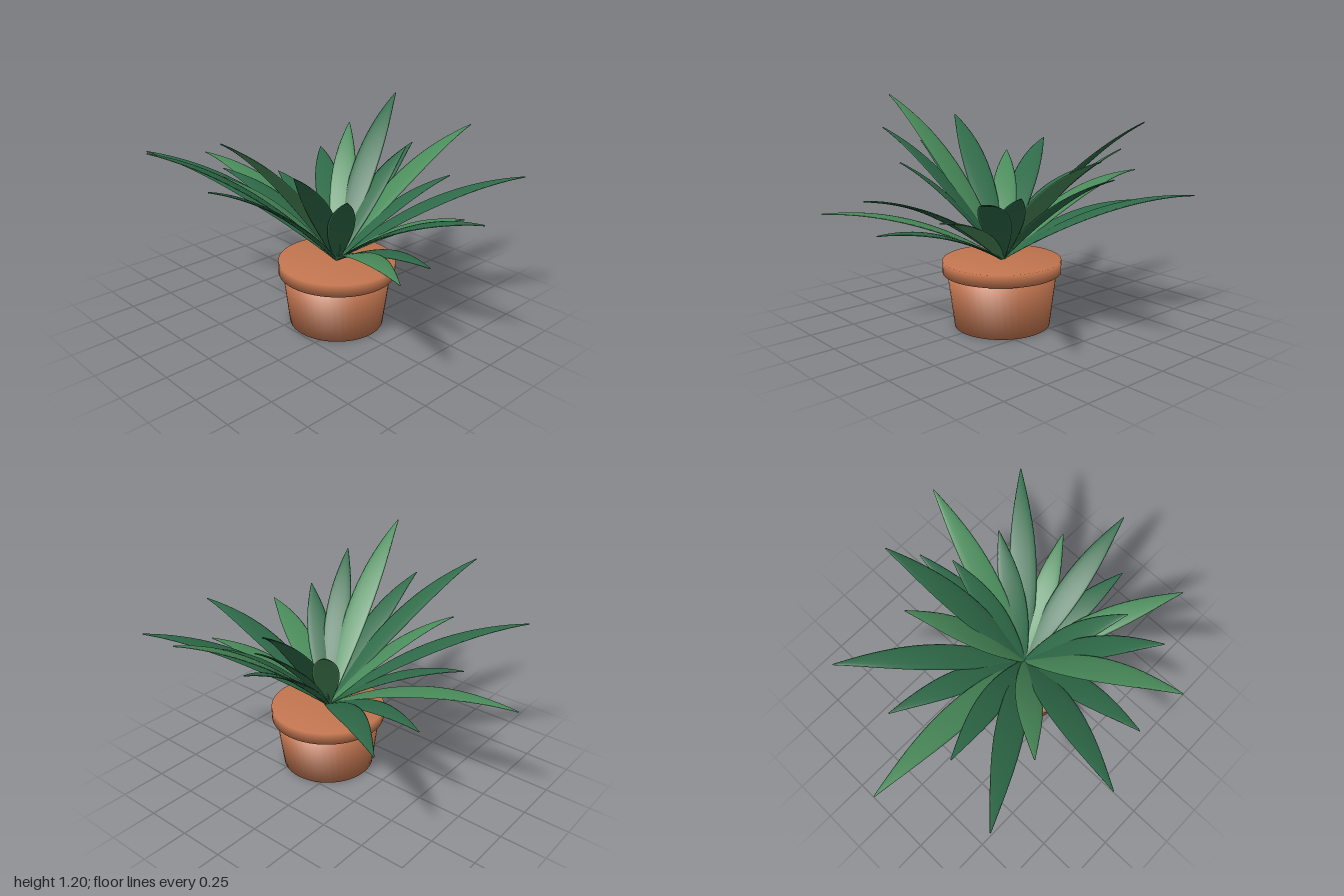
import * as THREE from 'three';

const mat = (name, color) => {
  const m = new THREE.MeshStandardMaterial({ color });
  m.name = name;
  return m;
};

// Arched solid blade with a lens cross-section, from the origin to tip
function leafGeometry(tip) {
  const flat = Math.hypot(tip.x, tip.z), rows = 20, sides = 12;
  const half = 0.054 + 0.018 * Math.min(1, flat), arch = 0.08 * tip.length();
  const forward = new THREE.Vector3(tip.x / flat, 0, tip.z / flat);
  const across = new THREE.Vector3(forward.z, 0, -forward.x);
  const pos = [], idx = [], p = new THREE.Vector3();
  for (let i = 0; i <= rows; i++) {
    const t = i / rows;
    const w = half * Math.sin(Math.PI * Math.pow(t, 0.88)) + 0.008 * (1 - t) ** 3 + 0.003;
    const thick = 0.003 + 0.06 * w;
    const slope = Math.atan2(tip.y + 4 * arch * (1 - 2 * t), flat);
    for (let j = 0; j < sides; j++) {
      const a = j / sides * Math.PI * 2, s = Math.sin(a) * thick;
      p.copy(tip).multiplyScalar(t).addScaledVector(across, Math.cos(a) * w);
      p.addScaledVector(forward, -Math.sin(slope) * s);
      p.y += 4 * arch * t * (1 - t) + Math.cos(slope) * s;
      pos.push(p.x, p.y, p.z);
      if (i < rows) {
        const b = i * sides + j, c = i * sides + (j + 1) % sides;
        idx.push(b, c, b + sides, c, c + sides, b + sides);
      }
    }
  }
  // end caps
  const last = rows * sides;
  for (let j = 1; j < sides - 1; j++) {
    idx.push(0, j + 1, j, last, last + j, last + j + 1);
  }
  const g = new THREE.BufferGeometry();
  g.setAttribute('position', new THREE.Float32BufferAttribute(pos, 3));
  g.setIndex(idx);
  g.computeVertexNormals();
  return g;
}

export function createModel() {
  const group = new THREE.Group();
  const clay = mat('terracotta', 0xc2754f);
  const dark = mat('dark green', 0x2f6b49);
  const light = mat('light green', 0x4a8c5b);
  const base = new THREE.Vector3(0.133, 0.355, -0.017);

  // Closed tapered pot and its projecting rim
  const turned = (name, points) => {
    const profile = points.map(p => new THREE.Vector2(...p));
    const mesh = new THREE.Mesh(new THREE.LatheGeometry(profile, 48), clay);
    mesh.name = name;
    mesh.position.set(base.x, 0, base.z);
    group.add(mesh);
  };
  turned('pot', [[0, 0], [0.257, 0], [0.294, 0.3], [0, 0.3]]);
  turned('potRim', [[0.26, 0.293], [0.317, 0.293], [0.317, 0.36], [0, 0.36]]);

  // Leaf tips: x, y, z, and 1 for the lighter green
  const tips = [
    [-0.68, 0.69, -0.65, 0], [-0.65, 0.615, -0.265, 0], [-1, 0.72, 0.03, 1],
    [-0.61, 0.74, 0.175, 0], [-0.74, 0.895, 0.585, 0], [-0.34, 0.855, 0.49, 1],
    [-0.235, 1.055, 0.87, 0], [0.1, 0.925, 0.765, 0], [0.28, 1.2, 0.81, 1],
    [0.475, 1.04, 0.575, 0], [0.54, 0.88, 0.315, 0], [0.95, 0.65, 0.405, 1],
    [0.84, 0.58, 0.07, 0], [1, 0.795, -0.1, 0], [0.74, 0.69, -0.305, 1],
    [0.81, 0.84, -0.705, 0], [0.46, 0.8, -0.535, 0], [0.32, 0.99, -0.88, 1],
    [0.13, 0.885, -0.55, 0], [0.04, 0.86, -0.71, 0], [-0.13, 1.12, -0.74, 0],
    [-0.26, 0.96, -0.49, 1],
  ];
  const leaves = new THREE.Group();
  leaves.name = 'leaves';
  leaves.position.copy(base);
  for (const [x, y, z, pale] of tips) {
    const tip = new THREE.Vector3(x, y, z).sub(base);
    const leaf = new THREE.Mesh(leafGeometry(tip), pale ? light : dark);
    leaf.name = 'leaf';
    leaves.add(leaf);
  }
  group.add(leaves);
  return group;
}
